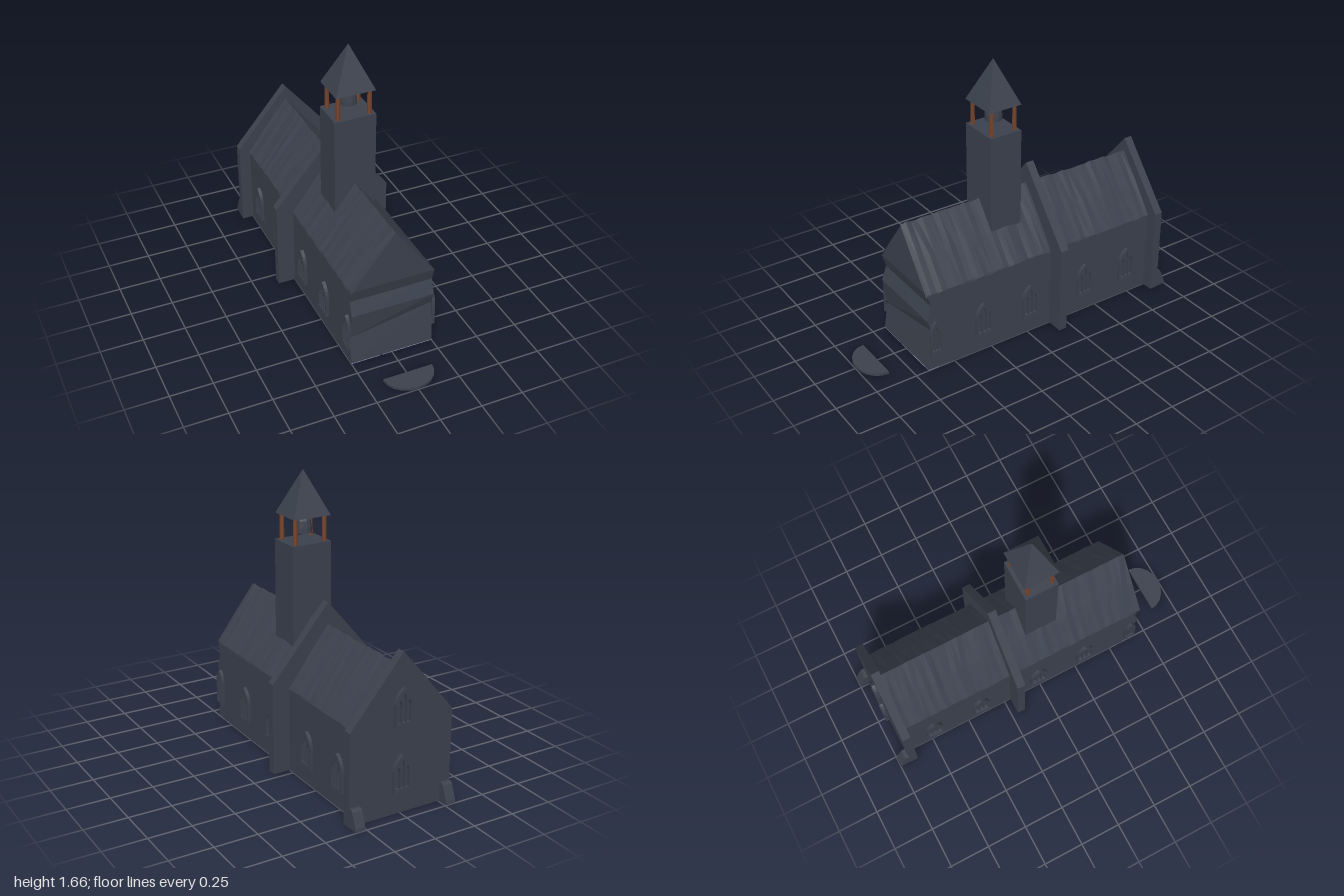
import * as THREE from 'three';

const mat = (name, color) => {
  const m = new THREE.MeshStandardMaterial({ color, flatShading: true, side: THREE.DoubleSide });
  m.name = name;
  return m;
};

export function createModel() {
  const slate = mat('slate', 0x3b414d);
  const wood = mat('brown wood', 0x74432b);
  const olive = mat('olive', 0xb0b850);
  const violet = mat('dull violet', 0x9896c4);
  const red = mat('brick red', 0xdc442e);
  const darkRed = mat('dark red', 0x5a2c28);

  const root = new THREE.Group();
  root.name = 'chapel';
  const add = (name, geo, material, x = 0, y = 0, z = 0, parent = root) => {
    const mesh = new THREE.Mesh(geo, material);
    mesh.name = name;
    mesh.position.set(x, y, z);
    parent.add(mesh);
    return mesh;
  };
  const box = (w, h, d) => new THREE.BoxGeometry(w, h, d);
  const shapeOf = pts => new THREE.Shape(pts.map(p => new THREE.Vector2(...p)));
  const extrude = (shape, depth) =>
    new THREE.ExtrudeGeometry(shape, { depth, bevelEnabled: false, curveSegments: 5 });
  const fromTriangles = tris => {
    const g = new THREE.BufferGeometry();
    g.setAttribute('position', new THREE.Float32BufferAttribute(tris.flat(), 3));
    g.computeVertexNormals();
    return g;
  };
  let seed = 7;
  const rand = () => (seed = (seed * 16807) % 2147483647) / 2147483647 - 0.5;

  // Nave walls: rows of [y at left, y at right, front z] give the buckled front wall
  const W = 0.25, BACK = -0.9;
  const rows = [[0, 0, 0.67], [0.26, 0.17, 0.645], [0.335, 0.335, 0.67], [0.42, 0.42, 0.64], [0.5, 0.5, 0.663]];
  const tris = [];
  const quad = (a, b, c, d) => tris.push(a, b, c, a, c, d);
  for (let i = 0; i < rows.length - 1; i++) {
    const [l0, r0, z0] = rows[i], [l1, r1, z1] = rows[i + 1];
    quad([-W, r0, z0], [W, l0, z0], [W, l1, z1], [-W, r1, z1]);
    quad([W, l0, z0], [W, l0, BACK], [W, l1, BACK], [W, l1, z1]);
    quad([-W, r0, BACK], [-W, r0, z0], [-W, r1, z1], [-W, r1, BACK]);
  }
  quad([-W, 0, BACK], [W, 0, BACK], [W, 0, 0.67], [-W, 0, 0.67]);
  tris.push([-W, 0.5, 0.663], [W, 0.5, 0.663], [0, 0.825, 0.663]);
  add('naveWalls', fromTriangles(tris), slate);

  // Roof of uneven strips with a ragged ridge and eaves
  const strips = 46, steps = 2;
  const ridge = Array.from({ length: strips + 1 }, () => 0.829 + rand() * 0.012);
  for (const s of [1, -1]) {
    const grid = ridge.map((top, i) => {
      const z = 0.67 - (1.56 * i) / strips;
      const lift = 0.003 + rand() * 0.005;
      const eave = 0.497 - Math.max(0, rand()) * 0.018;
      return Array.from({ length: steps + 1 }, (_, j) => {
        const t = j / steps;
        return [s * (W * t + (j ? lift : 0)), top + (eave - top) * t + (j === 1 ? lift : 0), z];
      });
    });
    const roof = [];
    for (let i = 0; i < strips; i++) {
      for (let j = 0; j < steps; j++) {
        const a = grid[i][j], b = grid[i][j + 1], c = grid[i + 1][j + 1], d = grid[i + 1][j];
        if (s > 0) roof.push(a, b, c, a, c, d);
        else roof.push(a, c, b, a, d, c);
      }
    }
    add(s > 0 ? 'roofLeft' : 'roofRight', fromTriangles(roof), slate);
  }

  // Gable slabs that rise above the roof
  const gable = (name, w, eave, apex, z0, z1) => add(name,
    extrude(shapeOf([[-w, 0], [w, 0], [w, eave], [0, apex], [-w, eave]]), z1 - z0), slate, 0, 0, z0);
  gable('middleGable', 0.355, 0.54, 0.96, -0.21, -0.16);
  gable('backGable', 0.32, 0.53, 0.91, -0.935, -0.885);

  // Sloped feet at the back corners
  const foot = extrude(shapeOf([[0, 0], [0.065, 0], [0.062, 0.02], [0.028, 0.1], [0.02, 0.11], [0, 0.11]]), 0.06);
  foot.rotateY(Math.PI / 2);
  for (const s of [1, -1]) add('backFoot', foot, slate, s * 0.288 - 0.03, 0, -0.935);

  // Pointed window frame with three lancet lights
  const lancet = (Type, cx, w, y0, spring, top) => {
    const p = new Type();
    p.moveTo(cx - w, y0);
    p.lineTo(cx + w, y0);
    p.lineTo(cx + w, spring);
    p.quadraticCurveTo(cx + w * 0.9, (spring + 2 * top) / 3, cx, top);
    p.quadraticCurveTo(cx - w * 0.9, (spring + 2 * top) / 3, cx - w, spring);
    return p;
  };
  const frame = lancet(THREE.Shape, 0, 0.054, 0, 0.13, 0.217);
  for (const [x, spring, top] of [[-0.029, 0.115, 0.152], [0, 0.14, 0.19], [0.029, 0.115, 0.152]]) {
    frame.holes.push(lancet(THREE.Path, x, 0.0125, 0.024, spring, top));
  }
  const frameGeo = extrude(frame, 0.02);
  const window3 = (name, x, y, z, turn, scale = 1) => {
    const g = new THREE.Group();
    g.name = name;
    add('tracery', frameGeo, slate, 0, 0, 0, g);
    add('sill', box(0.11, 0.014, 0.022), slate, 0, 0.007, 0.011, g);
    g.position.set(x, y, z);
    g.rotation.y = turn;
    g.scale.x = scale;
    root.add(g);
  };
  for (const s of [1, -1]) {
    for (const z of [0.305, -0.015, -0.41, -0.725]) window3('sideWindow', s * W, 0.105, z, s * Math.PI / 2);
    window3('frontSideWindow', s * W, 0.105, 0.622, s * Math.PI / 2, 0.66);
  }
  for (const y of [0.125, 0.5]) window3('backWindow', 0, y, -0.935, Math.PI);

  // Bell tower with posts, bell and spire
  const TZ = 0.062;
  add('tower', box(0.248, 0.6, 0.2), slate, 0, 0.95, TZ);
  for (const sx of [1, -1]) {
    for (const sz of [1, -1]) {
      add('towerPost', new THREE.CylinderGeometry(0.012, 0.014, 0.165, 6), wood, sx * 0.093, 1.325, TZ + sz * 0.075);
    }
  }
  const bell = [[0, 0], [0.05, 0], [0.049, 0.03], [0.043, 0.07], [0.032, 0.092], [0, 0.1]];
  add('bell', new THREE.LatheGeometry(bell.map(p => new THREE.Vector2(...p)), 12), slate, 0, 1.297, TZ);
  const spire = new THREE.CylinderGeometry(0, Math.SQRT2, 0.255, 4);
  spire.rotateY(Math.PI / 4);
  spire.scale(0.118, 1, 0.105);
  add('spire', spire, slate, 0, 1.527, TZ);

  // Half-round doorstep in front
  const stepShape = new THREE.Shape();
  stepShape.absellipse(0, 0, 0.15, 0.13, Math.PI, Math.PI * 2, false);
  stepShape.closePath();
  const step = extrude(stepShape, 0.016);
  step.rotateX(-Math.PI / 2);
  add('doorstep', step, slate, 0, 0, 0.868);

  // Coloured floor panels on the underside: [name, material, x0, x1, z0, z1]
  for (const [name, m, x0, x1, z0, z1] of [
    ['frontFloorLeft', violet, -0.055, 0.25, 0.5, 0.67],
    ['frontFloorRight', violet, -0.25, -0.075, 0.48, 0.67],
    ['backFloorLarge', olive, -0.2, 0.12, -0.87, -0.57],
    ['backFloorSmall', olive, 0.14, 0.21, -0.87, -0.57],
    ['middleFloorStrip', red, 0.08, 0.24, -0.2, -0.16],
    ['middleFloorThinStrip', darkRed, -0.2, 0.08, -0.195, -0.17],
    ['backFloorStripLeft', red, 0.02, 0.18, -0.92, -0.885],
    ['backFloorStripMiddle', darkRed, -0.12, 0.02, -0.92, -0.885],
    ['backFloorStripRight', red, -0.25, -0.12, -0.92, -0.88],
  ]) {
    add(name, box(x1 - x0, 0.004, z1 - z0), m, (x0 + x1) / 2, 0.0005, (z0 + z1) / 2);
  }
  return root;
}
